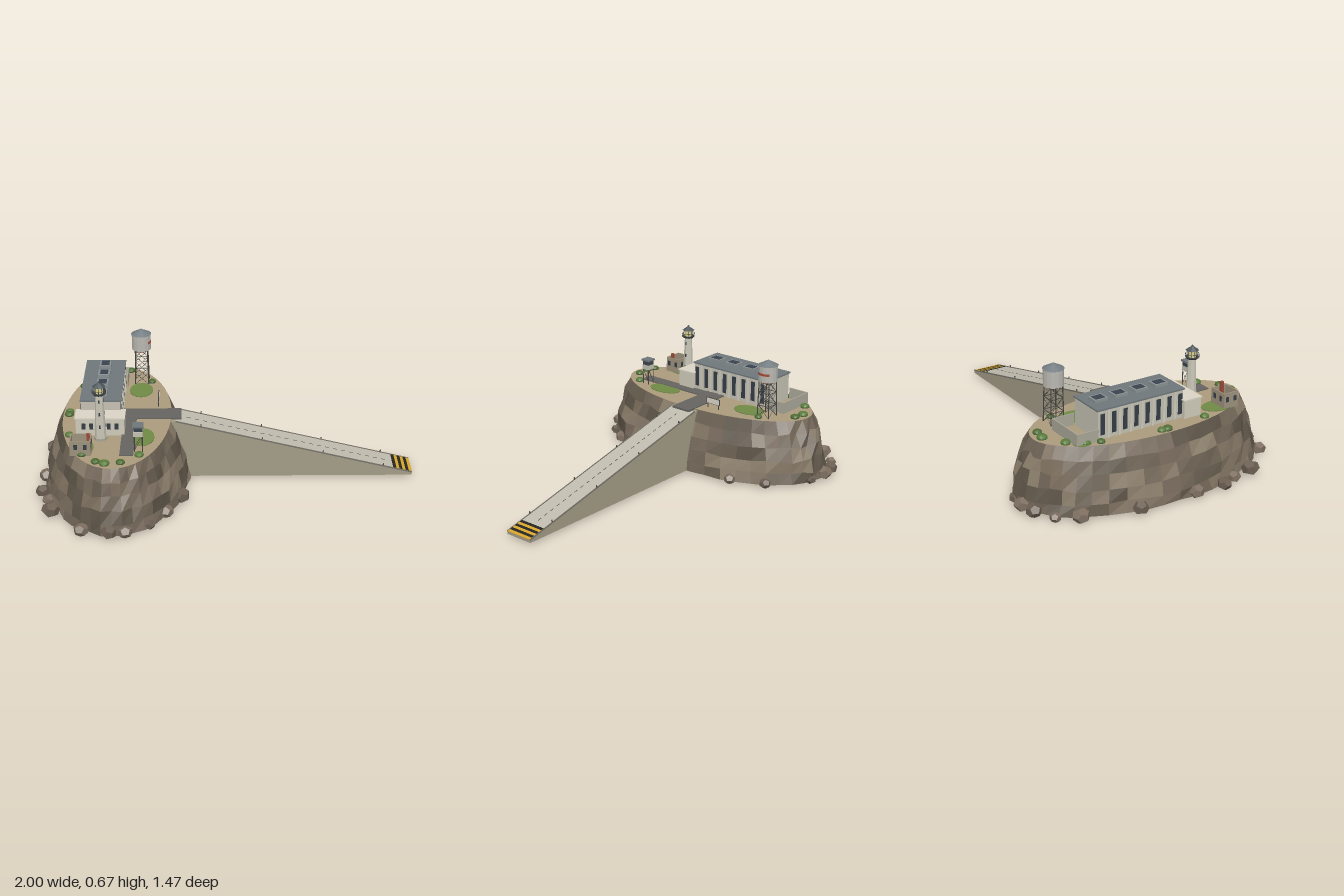
import * as THREE from 'three';

const TOP = 0.345, BASE = 0.015, CX = -0.575;
const mats = {};
const mat = (c, side = THREE.FrontSide) => (mats[c + '_' + side] ??= new THREE.MeshStandardMaterial({ color: c, flatShading: true, side }));

let seed = 7;
const rnd = () => (seed = (seed * 16807) % 2147483647) / 2147483647;

function add(parent, name, geo, color, x = 0, y = 0, z = 0) {
  const m = new THREE.Mesh(geo, mat(color));
  m.name = name;
  m.position.set(x, y, z);
  parent.add(m);
  return m;
}
// box given by its centre in x and z and its bottom in y
const box = (p, name, c, x, y, z, w, h, d) => add(p, name, new THREE.BoxGeometry(w, h, d), c, x, y + h / 2, z);
const cyl = (p, name, c, x, y, z, rTop, rBottom, h, n = 12) =>
  add(p, name, new THREE.CylinderGeometry(rTop, rBottom, h, n), c, x, y + h / 2, z);
function rod(p, name, c, a, b, r) {
  const va = new THREE.Vector3(...a), d = new THREE.Vector3(...b).sub(va);
  const m = add(p, name, new THREE.CylinderGeometry(r, r, d.length(), 5), c);
  m.position.copy(va).addScaledVector(d, 0.5);
  m.quaternion.setFromUnitVectors(new THREE.Vector3(0, 1, 0), d.normalize());
}
function group(parent, name, x = 0, y = 0, z = 0) {
  const g = new THREE.Group();
  g.name = name;
  g.position.set(x, y, z);
  parent.add(g);
  return g;
}

// cliff: stacked elliptical rings, each facet in one of a few rock colours
function island(root) {
  const g = group(root, 'island');
  const N = 44, rows = [[0.385, 0.7, BASE], [0.378, 0.69, 0.07], [0.365, 0.675, 0.14], [0.342, 0.655, 0.21], [0.318, 0.633, 0.28], [0.287, 0.608, TOP]];
  const rings = rows.map(([rx, rz, y], j) => Array.from({ length: N }, (_, i) => {
    const a = (i / N) * Math.PI * 2, k = j === 5 ? 1 : 1 + (rnd() - 0.5) * 0.045;
    return [CX + rx * k * Math.cos(a), y + (j > 0 && j < 5 ? (rnd() - 0.5) * 0.015 : 0), rz * k * Math.sin(a)];
  }));
  const palette = [0x6b6052, 0x7d705f, 0x8b7e6b, 0x746859, 0x5e5548];
  const buckets = palette.map(() => []);
  for (let j = 0; j < 5; j++) {
    let pick = 0;
    for (let i = 0; i < N; i++) {
      if (i % 2 === j % 2 || rnd() < 0.3) pick = Math.floor(rnd() * palette.length);
      const n = (i + 1) % N;
      const [a, b, c, d] = [rings[j][n], rings[j][i], rings[j + 1][i], rings[j + 1][n]];
      buckets[pick].push(...a, ...b, ...c, ...a, ...c, ...d);
    }
  }
  buckets.forEach((pos, k) => {
    const geo = new THREE.BufferGeometry();
    geo.setAttribute('position', new THREE.Float32BufferAttribute(pos, 3));
    geo.computeVertexNormals();
    add(g, 'cliffRock', geo, palette[k]);
  });
  const cap = (ring) => new THREE.ShapeGeometry(new THREE.Shape(ring.map(([x, , z]) => new THREE.Vector2(x, z)))).rotateX(Math.PI / 2);
  add(g, 'underside', cap(rings[0]), 0x38322a, 0, BASE, 0);
  const ground = new THREE.CircleGeometry(1, N).rotateX(-Math.PI / 2).scale(0.287, 1, 0.608);
  add(g, 'plateau', ground, 0xab9a7c, CX, TOP, 0);

  // boulders round the foot: x, z, radius
  [[-0.7, -0.68, 0.042], [-0.62, -0.695, 0.046], [-0.52, -0.68, 0.032], [-0.87, -0.52, 0.046], [-0.95, -0.23, 0.042], [-0.955, 0.1, 0.042],
    [-0.96, 0.27, 0.04], [-0.92, 0.36, 0.036], [-0.9, 0.48, 0.048], [-0.73, 0.67, 0.04], [-0.59, 0.7, 0.042], [-0.51, 0.69, 0.04],
    [-0.39, 0.61, 0.03], [-0.31, 0.49, 0.04], [-0.235, 0.335, 0.048], [-0.235, -0.35, 0.033], [-0.31, -0.53, 0.032], [-0.8, -0.62, 0.03]]
    .forEach(([x, z, r], i) => {
      const b = add(g, 'boulder', new THREE.DodecahedronGeometry(r), i % 2 ? 0x7d6e60 : 0x6a5d51, x, r * 0.8 + 0.003, z);
      b.scale.y = 0.85;
      b.rotation.y = rnd() * 6;
    });

  // grass patches: x, z, half width, half depth
  [[-0.46, -0.3, 0.064, 0.09], [-0.43, 0.27, 0.06, 0.098], [-0.735, 0.38, 0.06, 0.09], [-0.74, -0.43, 0.04, 0.05]].forEach(([x, z, rx, rz]) =>
    add(g, 'grass', new THREE.CylinderGeometry(1, 1, 0.004, 16).scale(rx, 1, rz), 0x6f8a45, x, TOP + 0.002, z));
  [[-0.59, -0.565], [-0.53, -0.555], [-0.7, -0.5], [-0.78, -0.35], [-0.75, -0.42], [-0.405, -0.405], [-0.83, -0.03], [-0.83, 0.005],
    [-0.81, 0.245], [-0.655, 0.54], [-0.61, 0.56], [-0.53, 0.55], [-0.44, 0.47], [-0.73, 0.46]].forEach(([x, z], i) => {
    const b = add(g, 'bush', new THREE.IcosahedronGeometry(0.02 + 0.008 * rnd(), 1), i % 2 ? 0x4d6b33 : 0x587a3a, x, TOP + 0.006, z);
    b.scale.y = 0.65;
  });
  box(g, 'yardRoad', 0x66645f, -0.393, TOP - 0.005, -0.003, 0.315, 0.011, 0.115);
  box(g, 'sideRoad', 0x66645f, -0.505, TOP - 0.005, 0.263, 0.07, 0.011, 0.42);
}

// sloping causeway with kerbs, dashes and striped end
function causeway(root) {
  const g = group(root, 'causeway');
  const s = new THREE.Shape();
  [[-0.33, BASE], [1, BASE], [1, 0.028], [-0.285, 0.342], [-0.33, 0.342]].forEach(([x, y], i) => (i ? s.lineTo(x, y) : s.moveTo(x, y)));
  add(g, 'rampBody', new THREE.ExtrudeGeometry(s, { depth: 0.16, bevelEnabled: false }), 0xa39b86, 0, 0, -0.08);
  const deck = group(g, 'deck', -0.285, 0.342, 0);
  deck.rotation.z = -Math.atan2(0.314, 1.285);
  const L = Math.hypot(0.314, 1.285);
  box(deck, 'roadSurface', 0xbfbbae, L / 2 + 0.01, 0, 0, L - 0.02, 0.003, 0.16);
  for (const side of [-1, 1]) {
    box(deck, 'kerb', 0x77736a, L / 2 + 0.01, 0, side * 0.079, L - 0.02, 0.007, 0.004);
    for (let i = 0; i < 4; i++) box(deck, 'markerPost', 0x55524c, 0.155 + i * 0.335, 0, side * 0.078, 0.005, 0.018, 0.005);
  }
  for (let x = 0.09; x < L - 0.12; x += 0.045) box(deck, 'dash', 0x55534d, x, 0.002, 0, 0.022, 0.002, 0.004);
  for (let i = 0; i < 6; i++) box(deck, 'hazardStripe', i % 2 ? 0xd6a52c : 0x26241f, L - 0.0945 + i * 0.0172, 0.002, 0, 0.0172, 0.003, 0.156);
}

function cellHouse(root) {
  const g = group(root, 'mainBuilding', -0.65, TOP, 0);
  box(g, 'walls', 0xc4c0b2, 0, 0, -0.1, 0.205, 0.152, 0.5);
  box(g, 'roof', 0x6f777b, 0, 0.15, -0.1, 0.215, 0.008, 0.515);
  for (const z of [-0.283, -0.166, -0.047, 0.072]) {
    box(g, 'skylightFrame', 0x8a9092, 0, 0.157, z, 0.062, 0.016, 0.075);
    box(g, 'skylightGlass', 0x3a444e, 0, 0.17, z, 0.042, 0.005, 0.055);
  }
  for (const side of [-1, 1])
    for (let i = 0; i < 8; i++) {
      const z = 0.133 - i * 0.0652;
      box(g, 'tallWindow', 0x343c46, side * 0.102, 0.022, z, 0.006, 0.11, 0.024);
      if (i < 7) box(g, 'pilaster', 0xcfcbbd, side * 0.103, 0, z - 0.0326, 0.008, 0.15, 0.012);
    }
  // lower entrance block
  box(g, 'annex', 0xcfcab9, 0, 0, 0.195, 0.25, 0.095, 0.1);
  box(g, 'annexRoof', 0xd8d3c3, 0, 0.094, 0.195, 0.26, 0.007, 0.11);
  for (const x of [-0.085, -0.045, 0.045, 0.085]) box(g, 'annexWindow', 0x343c46, x, 0.035, 0.245, 0.02, 0.035, 0.004);
  box(g, 'door', 0x4a4238, 0, 0, 0.245, 0.03, 0.05, 0.005);
  // walled yard at the back
  for (const side of [-1, 1]) box(g, 'yardWall', 0xaaa698, side * 0.111, 0, -0.413, 0.006, 0.063, 0.12);
  box(g, 'yardWall', 0xaaa698, 0, 0, -0.472, 0.228, 0.063, 0.006);
}

function lighthouse(root) {
  const g = group(root, 'lighthouse', -0.645, TOP, 0.28);
  cyl(g, 'plinth', 0xaaa698, 0, 0, 0, 0.034, 0.034, 0.012, 8);
  cyl(g, 'tower', 0xc9c5b7, 0, 0, 0, 0.02, 0.03, 0.255, 8);
  cyl(g, 'gallery', 0x3b3f42, 0, 0.252, 0, 0.037, 0.03, 0.009, 8);
  cyl(g, 'lantern', 0xd9cf8a, 0, 0.26, 0, 0.022, 0.022, 0.037, 8);
  cyl(g, 'lanternRoof', 0x4c555a, 0, 0.296, 0, 0.003, 0.034, 0.022, 8);
  add(g, 'finial', new THREE.SphereGeometry(0.005, 8, 6), 0x4c555a, 0, 0.32, 0);
  add(g, 'railing', new THREE.TorusGeometry(0.035, 0.0015, 4, 8).rotateX(Math.PI / 2), 0x3b3f42, 0, 0.278, 0);
  for (let i = 0; i < 8; i++) {
    const a = (i / 8) * Math.PI * 2, x = Math.cos(a), z = Math.sin(a);
    rod(g, 'railPost', 0x3b3f42, [x * 0.035, 0.258, z * 0.035], [x * 0.035, 0.278, z * 0.035], 0.0012);
    rod(g, 'glazingBar', 0x3b3f42, [x * 0.022, 0.26, z * 0.022], [x * 0.022, 0.297, z * 0.022], 0.0015);
  }
  [0.07, 0.14, 0.21].forEach((y) => {
    box(g, 'slitWindow', 0x343c46, 0, y, 0.027 - y * 0.038, 0.008, 0.018, 0.006);
    box(g, 'slitWindow', 0x343c46, 0.027 - y * 0.038, y, 0, 0.006, 0.018, 0.008);
  });
}

function waterTower(root) {
  const g = group(root, 'waterTower', -0.46, TOP, -0.42);
  const c = [[1, 1], [1, -1], [-1, -1], [-1, 1]], at = (k, y) => [c[k % 4][0] * (0.037 - y * 0.02), y, c[k % 4][1] * (0.037 - y * 0.02)];
  for (let k = 0; k < 4; k++) {
    rod(g, 'leg', 0x45433f, at(k, 0), at(k, 0.2), 0.0032);
    for (const y of [0.065, 0.135]) rod(g, 'crossBar', 0x45433f, at(k, y), at(k + 1, y), 0.002);
    for (const [y0, y1] of [[0, 0.065], [0.065, 0.135], [0.135, 0.2]]) {
      rod(g, 'brace', 0x45433f, at(k, y0), at(k + 1, y1), 0.0013);
      rod(g, 'brace', 0x45433f, at(k + 1, y0), at(k, y1), 0.0013);
    }
  }
  cyl(g, 'tankFloor', 0x7a3b2c, 0, 0.192, 0, 0.051, 0.04, 0.009, 16);
  cyl(g, 'tank', 0xb9b7b0, 0, 0.2, 0, 0.052, 0.052, 0.09, 16);
  cyl(g, 'tankRoof', 0x747d82, 0, 0.288, 0, 0.003, 0.056, 0.028, 16);
  // painted band on the side facing the causeway
  const band = new THREE.CylinderGeometry(0.0528, 0.0528, 0.013, 12, 1, true, Math.PI / 4, Math.PI / 2);
  add(g, 'paintedBand', band, 0xa84a36, 0, 0.245, 0);
}

function outbuildings(root) {
  // roofless house with chimney
  const h = group(root, 'ruinedHouse', -0.735, TOP, 0.427);
  for (const s of [-1, 1]) {
    box(h, 'sideWall', 0x9d917c, s * 0.05, 0, 0, 0.006, 0.083, 0.09);
    box(h, 'endWall', 0x9d917c, 0, 0, s * 0.042, 0.1, 0.083, 0.006);
    for (const t of [-0.024, 0.024]) {
      box(h, 'window', 0x343c46, t, 0.035, s * 0.0435, 0.018, 0.028, 0.005);
      box(h, 'window', 0x343c46, s * 0.0515, 0.035, t, 0.005, 0.028, 0.018);
    }
  }
  box(h, 'chimney', 0x9a4a38, 0.04, 0, 0.01, 0.016, 0.108, 0.016);

  // guard post on stilts
  const t = group(root, 'guardTower', -0.445, TOP, 0.41);
  for (const x of [-0.02, 0.02]) {
    for (const z of [-0.02, 0.02]) rod(t, 'leg', 0x45433f, [x, 0, z], [x, 0.09, z], 0.0025);
    rod(t, 'brace', 0x45433f, [x, 0.01, -0.02], [x, 0.085, 0.02], 0.0013);
    rod(t, 'brace', 0x45433f, [-0.02, 0.01, x], [0.02, 0.085, x], 0.0013);
  }
  box(t, 'cabin', 0xc4c0b2, 0, 0.087, 0, 0.048, 0.026, 0.048);
  box(t, 'glazing', 0x3a444e, 0, 0.113, 0, 0.044, 0.024, 0.044);
  box(t, 'roof', 0x6f777b, 0, 0.136, 0, 0.056, 0.009, 0.056);

  // blank notice board facing the causeway
  const b = group(root, 'noticeBoard', -0.36, TOP, -0.132);
  for (const z of [-0.036, 0.036]) rod(b, 'post', 0x45433f, [0, 0, z], [0, 0.058, z], 0.0025);
  box(b, 'backing', 0x4a4742, 0, 0.024, 0, 0.005, 0.034, 0.09);
  box(b, 'panel', 0xd8d5ca, 0.003, 0.027, 0, 0.003, 0.028, 0.084);
}

export function createModel() {
  const root = new THREE.Group();
  root.name = 'islandFortress';
  [island, causeway, cellHouse, lighthouse, waterTower, outbuildings].forEach((build) => build(root));
  return root;
}
